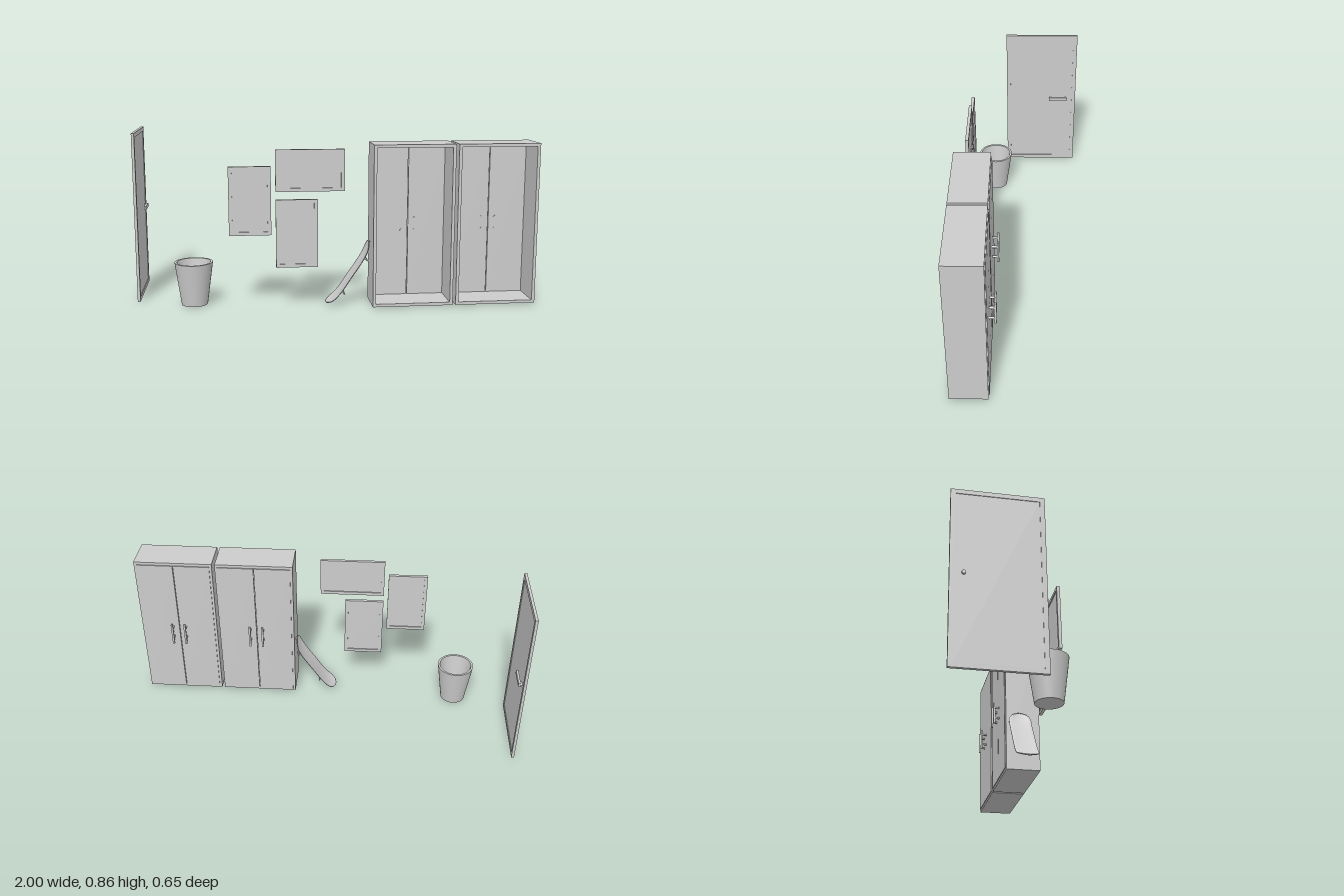
import * as THREE from 'three';

const mat = new THREE.MeshStandardMaterial({ color: 0xcccccc });
const matDouble = new THREE.MeshStandardMaterial({ color: 0xcccccc, side: THREE.DoubleSide });

function add(parent, name, geometry, material = mat) {
  const mesh = new THREE.Mesh(geometry, material);
  mesh.name = name;
  parent.add(mesh);
  return mesh;
}

// Box given by its lower and upper limits
function box(parent, name, x0, x1, y0, y1, z0, z1) {
  const g = new THREE.BoxGeometry(x1 - x0, y1 - y0, z1 - z0);
  g.translate((x0 + x1) / 2, (y0 + y1) / 2, (z0 + z1) / 2);
  return add(parent, name, g);
}

function group(parent, name) {
  const g = new THREE.Group();
  g.name = name;
  parent.add(g);
  return g;
}

// Rectangular rim in the xy plane, centred at the origin, extruded along z
function rimGeometry(w, h, border, depth) {
  const rect = (T, a, b) => new T([[-a, -b], [a, -b], [a, b], [-a, b]].map(p => new THREE.Vector2(...p)));
  const shape = rect(THREE.Shape, w / 2, h / 2);
  shape.holes.push(rect(THREE.Path, w / 2 - border, h / 2 - border));
  return new THREE.ExtrudeGeometry(shape, { depth, bevelEnabled: false }).translate(0, 0, -depth / 2);
}

// Rim with a thinner panel set into it
function framedPanel(parent, name, w, h, border, depth, panelDepth) {
  const g = group(parent, name);
  add(g, 'rim', rimGeometry(w, h, border, depth));
  add(g, 'panel', new THREE.BoxGeometry(w - 2 * border, h - 2 * border, panelDepth));
  return g;
}

// Cabinet shell, open at +z, with two doors at -z
function cabinet(parent, name, x0, x1) {
  const g = group(parent, name);
  const y0 = 0.005, y1 = 0.81, cx = (x0 + x1) / 2;
  const shell = add(g, 'shell', rimGeometry(x1 - x0, y1 - y0, 0.015, 0.182));
  shell.position.set(cx, (y0 + y1) / 2, 0.234);
  for (const s of [-1, 1]) {
    const outer = s < 0 ? x0 + 0.013 : x1 - 0.013;
    const inner = cx + s * 0.0015;
    box(g, 'door', Math.min(outer, inner), Math.max(outer, inner), 0.018, 0.795, 0.138, 0.15);
    const hx = cx + s * 0.034;
    box(g, 'handleBar', hx - 0.005, hx + 0.005, 0.327, 0.447, 0.105, 0.115);
    for (const y of [0.357, 0.418]) {
      const post = new THREE.CylinderGeometry(0.006, 0.006, 0.042, 16).rotateX(Math.PI / 2);
      add(g, 'handlePost', post).position.set(hx, y, 0.133);
    }
  }
}

// Curved deck leaning on the cabinet, with rounded ends
function skateboard(parent) {
  const g = group(parent, 'skateboard');
  const curve = new THREE.CatmullRomCurve3([
    [-0.045, 0.006], [-0.012, 0.026], [0.025, 0.063], [0.08, 0.143], [0.135, 0.225], [0.16, 0.273], [0.174, 0.318],
  ].map(([x, y]) => new THREE.Vector3(x, y, 0.215)));
  const rows = 48, cols = 8, half = 0.06, thick = 0.005, length = curve.getLength();
  const pos = [], index = [];
  for (let i = 0; i <= rows; i++) {
    const u = (1 - Math.cos(Math.PI * i / rows)) / 2;
    const p = curve.getPointAt(u), t = curve.getTangentAt(u);
    const k = Math.max(0, 1 - Math.min(u, 1 - u) * length / 0.05);
    const w = half * Math.max(0.03, Math.sqrt(1 - k * k));
    for (const side of [1, -1]) {
      for (let j = 0; j <= cols; j++) {
        const a = side * (2 * j / cols - 1);
        const lift = side * thick / 2 + 0.004 * a * a;
        pos.push(p.x - t.y * lift, p.y + t.x * lift, p.z + a * w);
      }
    }
  }
  const ring = 2 * (cols + 1);
  for (let i = 0; i < rows; i++) {
    for (let j = 0; j < ring; j++) {
      const a = i * ring + j, b = i * ring + (j + 1) % ring;
      index.push(a, b, a + ring, b, b + ring, a + ring);
    }
  }
  const deck = new THREE.BufferGeometry();
  deck.setAttribute('position', new THREE.Float32BufferAttribute(pos, 3));
  deck.setIndex(index);
  deck.computeVertexNormals();
  add(g, 'deck', deck, matDouble);

  // Trucks on the underside
  for (const u of [0.25, 0.77]) {
    const p = curve.getPointAt(u), t = curve.getTangentAt(u);
    const truck = group(g, 'truck');
    truck.position.copy(p);
    truck.rotation.z = Math.atan2(t.y, t.x);
    box(truck, 'basePlate', -0.014, 0.014, -0.006, 0, -0.012, 0.012);
    box(truck, 'hanger', -0.004, 0.004, -0.022, -0.004, -0.008, 0.008);
    const axle = new THREE.CylinderGeometry(0.004, 0.004, 0.07, 12).rotateX(Math.PI / 2);
    add(truck, 'axle', axle).position.y = -0.021;
  }
}

export function createModel() {
  const model = new THREE.Group();
  model.name = 'hallwayFurniture';

  cabinet(model, 'innerCabinet', 0.178, 0.58);
  cabinet(model, 'outerCabinet', 0.595, 1.0);
  skateboard(model);

  // Wall pictures
  const pictures = [[-0.522, -0.317, 0.37, 0.707], [-0.295, 0.042, 0.582, 0.787], [-0.295, -0.09, 0.206, 0.543]];
  for (const [x0, x1, y0, y1] of pictures) {
    framedPanel(model, 'pictureFrame', x1 - x0, y1 - y0, 0.017, 0.016, 0.006)
      .position.set((x0 + x1) / 2, (y0 + y1) / 2, 0.268);
  }

  // Waste bin with a hollow inside
  const profile = [[0, 0.002], [0.065, 0.002], [0.095, 0.218], [0.084, 0.218], [0.055, 0.02], [0, 0.02]];
  const wall = [];
  for (let i = 0; i < profile.length - 1; i++) {
    wall.push([profile[i], profile[i + 1]]);
  }
  const bin = group(model, 'wasteBin');
  bin.position.set(-0.702, 0, 0.157);
  const names = ['underside', 'outerWall', 'lip', 'innerWall', 'floor'];
  wall.forEach((pair, i) => add(bin, names[i],
    new THREE.LatheGeometry(pair.map(p => new THREE.Vector2(...p)), 40), matDouble));

  // Door standing side-on, with a lever
  const door = framedPanel(model, 'door', 0.415, 0.855, 0.022, 0.014, 0.008);
  door.rotation.y = Math.PI / 2;
  door.position.set(-0.986, 0.4275, -0.1155);
  const lever = group(model, 'doorHandle');
  const spindle = new THREE.CylinderGeometry(0.009, 0.009, 0.034, 20).rotateZ(Math.PI / 2);
  add(lever, 'spindle', spindle).position.set(-0.983, 0.437, -0.262);
  box(lever, 'grip', -0.974, -0.963, 0.427, 0.447, -0.272, -0.163);

  return model;
}
